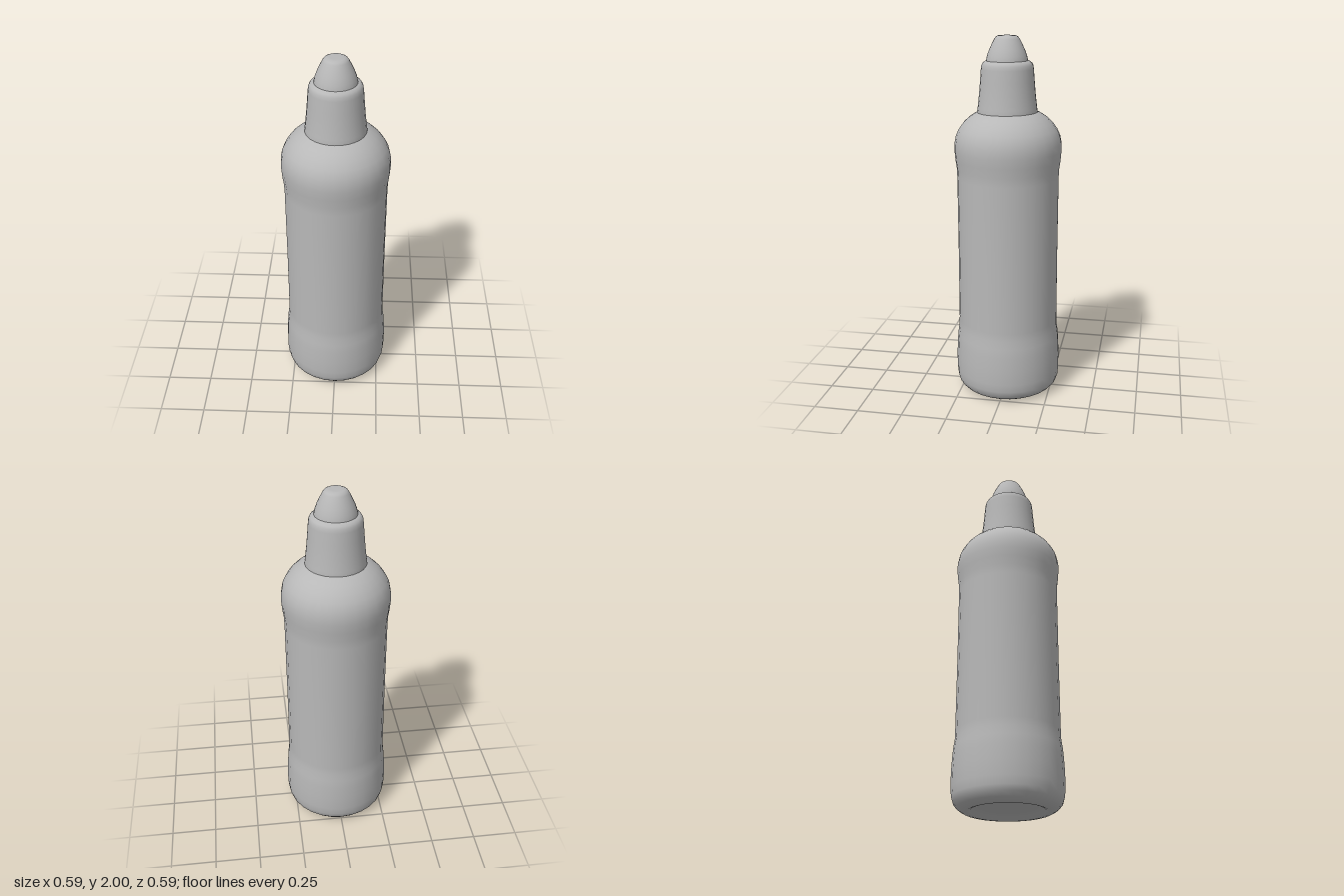
import * as THREE from 'three';

const SIDES = 28;

// Smoothly turned part from [radius, height] pairs, listed bottom to top
function turned(name, profile, material) {
  const points = profile.map(([r, y]) => new THREE.Vector2(r, y));
  const mesh = new THREE.Mesh(new THREE.LatheGeometry(points, SIDES), material);
  mesh.name = name;
  return mesh;
}

export function createModel() {
  const group = new THREE.Group();
  group.name = 'squeezeBottle';
  const grey = new THREE.MeshStandardMaterial({ color: 0xb8b8b8 });
  grey.name = 'plain grey';

  // Body: recessed base, slightly waisted grip, round shoulder
  group.add(turned('body', [
    [0, 0.035], [0.14, 0.033], [0.175, 0.025], [0.195, 0.008], [0.212, 0.002],
    [0.235, 0.006], [0.262, 0.022], [0.282, 0.045], [0.291, 0.075], [0.295, 0.12],
    [0.295, 0.2], [0.291, 0.28], [0.287, 0.33], [0.28, 0.375], [0.279, 0.42],
    [0.278, 0.8], [0.279, 1.24], [0.281, 1.29], [0.288, 1.34], [0.292, 1.39],
    [0.291, 1.43], [0.283, 1.47], [0.267, 1.505], [0.242, 1.54], [0.21, 1.57],
    [0.175, 1.592], [0.15, 1.602], [0.12, 1.606],
  ], grey));

  // Cap: tapered collar with a rounded upper rim
  const cap = turned('capCollar', [
    [0.162, 1.585], [0.163, 1.6], [0.16, 1.62], [0.152, 1.69], [0.146, 1.76],
    [0.141, 1.825], [0.138, 1.845], [0.131, 1.858], [0.12, 1.866], [0.1, 1.872],
  ], grey);
  cap.position.z = 0.004;
  group.add(cap);

  // Nozzle: domed tip with a small flat top
  const nozzle = turned('nozzle', [
    [0.113, 1.855], [0.111, 1.872], [0.106, 1.895], [0.095, 1.925], [0.081, 1.955],
    [0.067, 1.982], [0.059, 1.993], [0.047, 1.999], [0.03, 2], [0, 2],
  ], grey);
  nozzle.position.z = 0.006;
  group.add(nozzle);

  return group;
}
